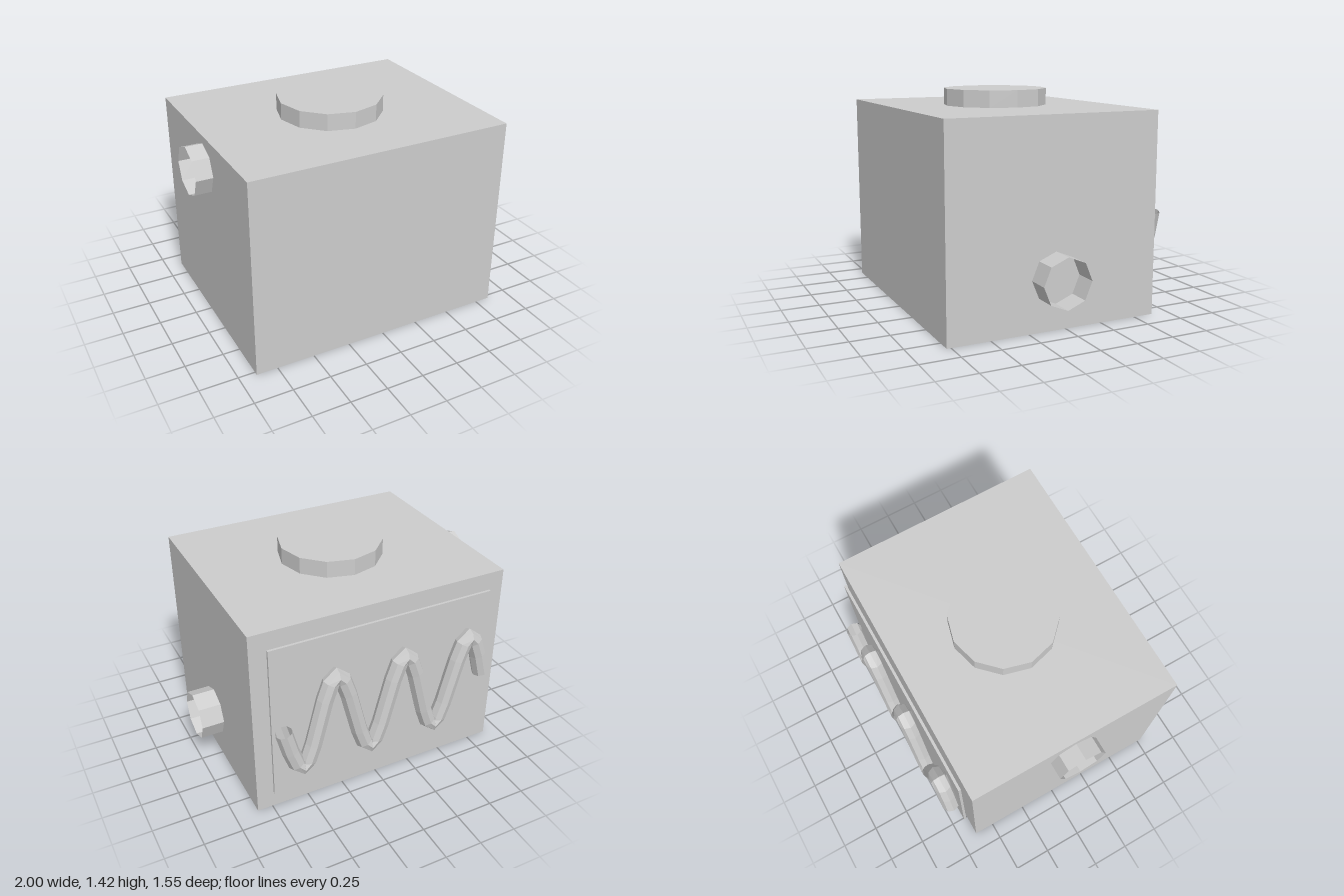
import * as THREE from 'three';

// Sine wave running across the back, sampled evenly in x
class CoilCurve extends THREE.Curve {
  getPoint(t, target = new THREE.Vector3()) {
    return target.set(0.69 - 1.414 * t, 0.64 - 0.305 * Math.sin(t * Math.PI * 6), -0.722);
  }
  getPointAt(t, target) { return this.getPoint(t, target); }
  getTangentAt(t, target) { return this.getTangent(t, target); }
}

export function createModel() {
  const group = new THREE.Group();
  const grey = new THREE.MeshStandardMaterial({ color: 0xcccccc, flatShading: true });
  grey.name = 'grey';
  grey.side = THREE.DoubleSide; // the pipes and coil are open shells

  const add = (name, geometry, x = 0, y = 0, z = 0) => {
    const mesh = new THREE.Mesh(geometry, grey);
    mesh.name = name;
    mesh.position.set(x, y, z);
    group.add(mesh);
    return mesh;
  };

  // Tank body and twelve-sided lid
  add('body', new THREE.BoxGeometry(1.74, 1.31, 1.413), -0.02, 0.655, 0.071);
  add('lid', new THREE.CylinderGeometry(0.343, 0.343, 0.11, 12), -0.02, 1.365, 0.07);

  // Open octagonal pipe stubs: low on the left side, high on the right side
  const pipe = (name, x0, x1, y) => {
    const geometry = new THREE.CylinderGeometry(0.162, 0.162, x1 - x0, 8, 1, true).rotateZ(Math.PI / 2);
    add(name, geometry, (x0 + x1) / 2, y, 0.07);
  };
  pipe('leftPipe', 0.85, 1, 0.33);
  pipe('rightPipe', -1, -0.89, 1.094);

  // Back plate with a thin inner panel
  add('backPlate', new THREE.BoxGeometry(1.525, 1.07, 0.017), -0.018, 0.667, -0.661);
  add('innerPanel', new THREE.PlaneGeometry(1.24, 0.815).rotateY(Math.PI), -0.01, 0.667, -0.68);

  // Wavy coil tube in front of the panel
  add('coil', new THREE.TubeGeometry(new CoilCurve(), 36, 0.055, 8, false));

  return group;
}
